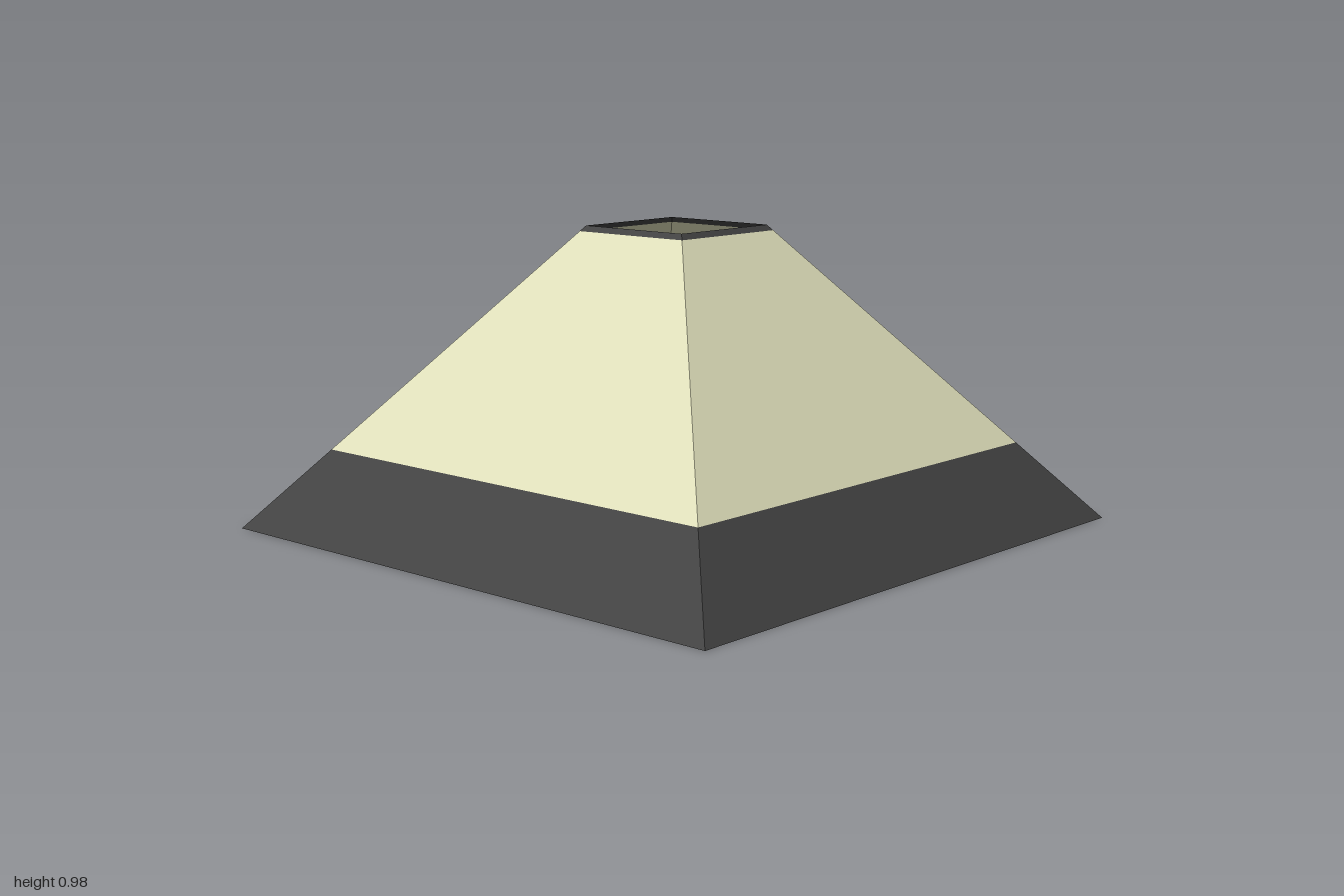
import * as THREE from 'three';

const HEIGHT = 0.98, BOTTOM = 1, TOP = 0.205;

// Half width of the tapering shade at height y
const halfWidth = (y) => BOTTOM + (TOP - BOTTOM) * (y / HEIGHT);

// Open four-sided band of the shade between two heights
function band(name, y0, y1, material) {
  const r = Math.SQRT2;
  const geometry = new THREE.CylinderGeometry(halfWidth(y1) * r, halfWidth(y0) * r, y1 - y0, 4, 1, true)
    .rotateY(Math.PI / 4)
    .translate(0, (y0 + y1) / 2, 0)
    .toNonIndexed();
  geometry.computeVertexNormals();
  const mesh = new THREE.Mesh(geometry, material);
  mesh.name = name;
  return mesh;
}

export function createModel() {
  const fabric = new THREE.MeshStandardMaterial({ color: 0xdfdfba, flatShading: true, side: THREE.DoubleSide });
  fabric.name = 'cream fabric';
  const trim = new THREE.MeshStandardMaterial({ color: 0x424242, flatShading: true, side: THREE.DoubleSide });
  trim.name = 'charcoal trim';

  const shade = new THREE.Group();
  shade.name = 'lampShade';
  shade.add(
    band('bottomTrim', 0, 0.258, trim),
    band('shadePanels', 0.258, 0.962, fabric),
    band('topTrim', 0.962, HEIGHT, trim),
  );
  return shade;
}
